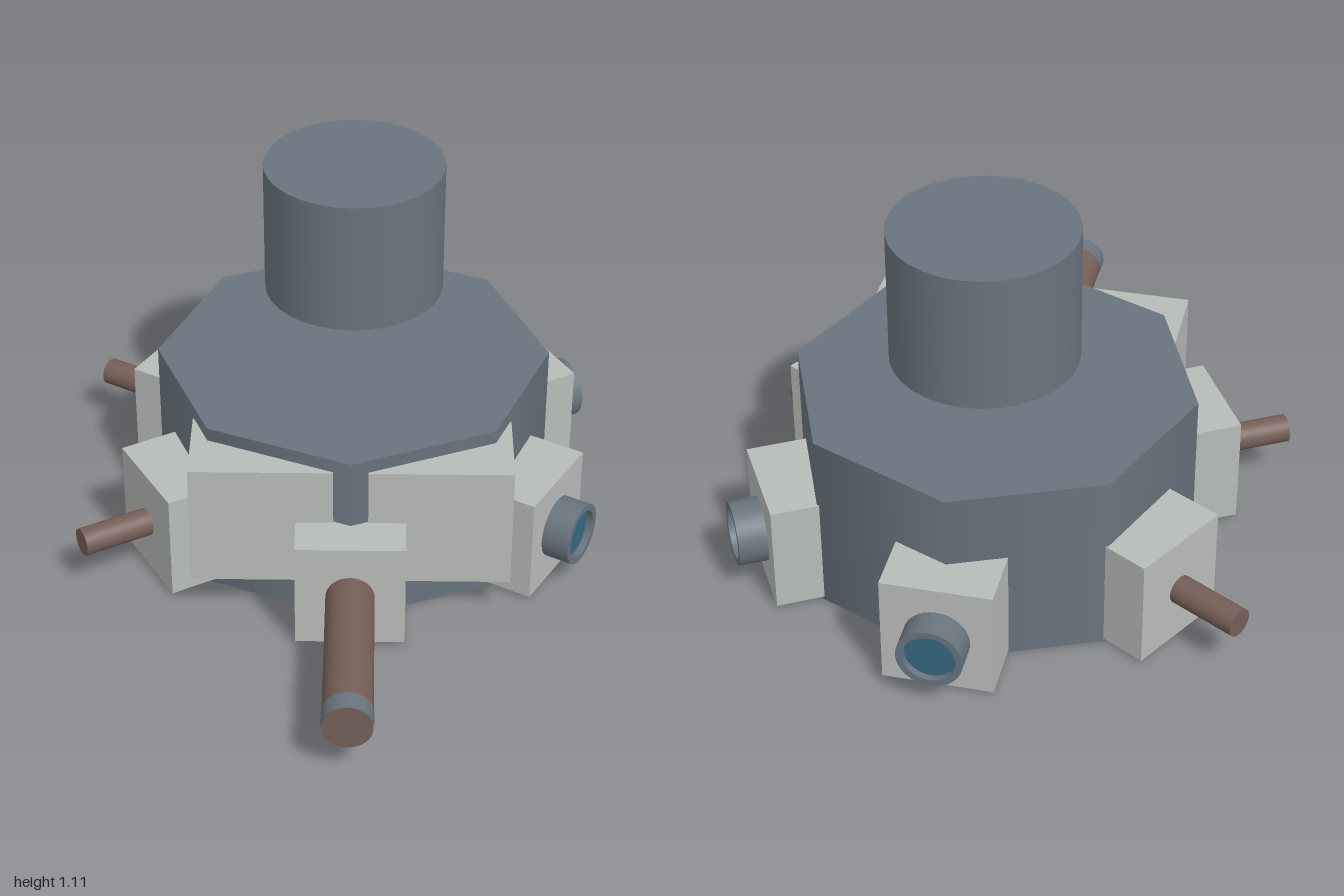
import * as THREE from 'three';

const slate = new THREE.MeshStandardMaterial({ name: 'slate', color: 0x69747e });
const lightGrey = new THREE.MeshStandardMaterial({ name: 'lightGrey', color: 0xb8bcb9 });
const brown = new THREE.MeshStandardMaterial({ name: 'brown', color: 0x755f57 });
const glass = new THREE.MeshStandardMaterial({ name: 'glassBlue', color: 0x34697d });

const CX = 0.0425, CZ = -0.23; // centre of the hull
const AXIS_Y = 0.17;           // height of barrels and lenses
const FACE = 0.687;            // distance from hull centre to housing face

function add(parent, name, geometry, material, x = 0, y = 0, z = 0) {
  const mesh = new THREE.Mesh(geometry, material);
  mesh.name = name;
  mesh.position.set(x, y, z);
  parent.add(mesh);
  return mesh;
}

// Cylinder lying along +z between two distances
function rod(parent, name, radius, z0, z1, material) {
  const g = new THREE.CylinderGeometry(radius, radius, z1 - z0, 32).rotateX(Math.PI / 2);
  return add(parent, name, g, material, 0, AXIS_Y, (z0 + z1) / 2);
}

// Hollow lens barrel with recessed glass
function addLens(parent) {
  const end = 0.77, inner = 0.073, floor = end - 0.02;
  const corners = [[0.092, FACE - 0.02], [0.092, end], [inner, end], [inner, floor]];
  // each straight run is its own lathe, so the edges stay sharp
  for (let i = 0; i < corners.length - 1; i++) {
    const pts = [corners[i], corners[i + 1]].map(([r, z]) => new THREE.Vector2(r, z));
    const g = new THREE.LatheGeometry(pts, 32).rotateX(Math.PI / 2);
    add(parent, ['lensShell', 'lensRim', 'lensInnerWall'][i], g, slate, 0, AXIS_Y, 0);
  }
  add(parent, 'lensGlass', new THREE.CircleGeometry(inner, 32), glass, 0, AXIS_Y, floor);
}

function addThinBarrel(parent) {
  rod(parent, 'thinBarrel', 0.041, FACE - 0.05, 0.895, brown);
}

function addMainBarrel(parent) {
  rod(parent, 'mainBarrel', 0.069, FACE - 0.05, 1.23, brown);
  const ring = new THREE.CylinderGeometry(0.071, 0.071, 0.06, 32, 1, true).rotateX(Math.PI / 2);
  add(parent, 'muzzleRing', ring, slate, 0, AXIS_Y, 1.2);
}

export function createModel() {
  const model = new THREE.Group();
  model.name = 'turretStation';

  // Eight-sided hull and the drum floating above it
  add(model, 'hull', new THREE.CylinderGeometry(0.575, 0.575, 0.545, 8), slate, CX, 0.2725, CZ);
  add(model, 'upperDrum', new THREE.CylinderGeometry(0.262, 0.262, 0.4, 32), slate, CX, 0.91, -0.345);

  // Front armour blocks
  for (const side of [-1, 1]) {
    add(model, side < 0 ? 'rightArmour' : 'leftArmour',
      new THREE.BoxGeometry(0.405, 0.375, 0.26), lightGrey, CX + side * 0.2515, 0.3175, 0.2);
  }

  // Six housings every 60 degrees, starting at the front
  const fittings = [addMainBarrel, addLens, addLens, addLens, addThinBarrel, addThinBarrel];
  fittings.forEach((fit, i) => {
    const station = new THREE.Group();
    station.name = 'station' + (i + 1);
    station.position.set(CX, 0, CZ);
    station.rotation.y = i * Math.PI / 3;
    add(station, 'housing', new THREE.BoxGeometry(0.31, 0.325, 0.31), lightGrey, 0, 0.1725, FACE - 0.155);
    fit(station);
    model.add(station);
  });

  return model;
}
